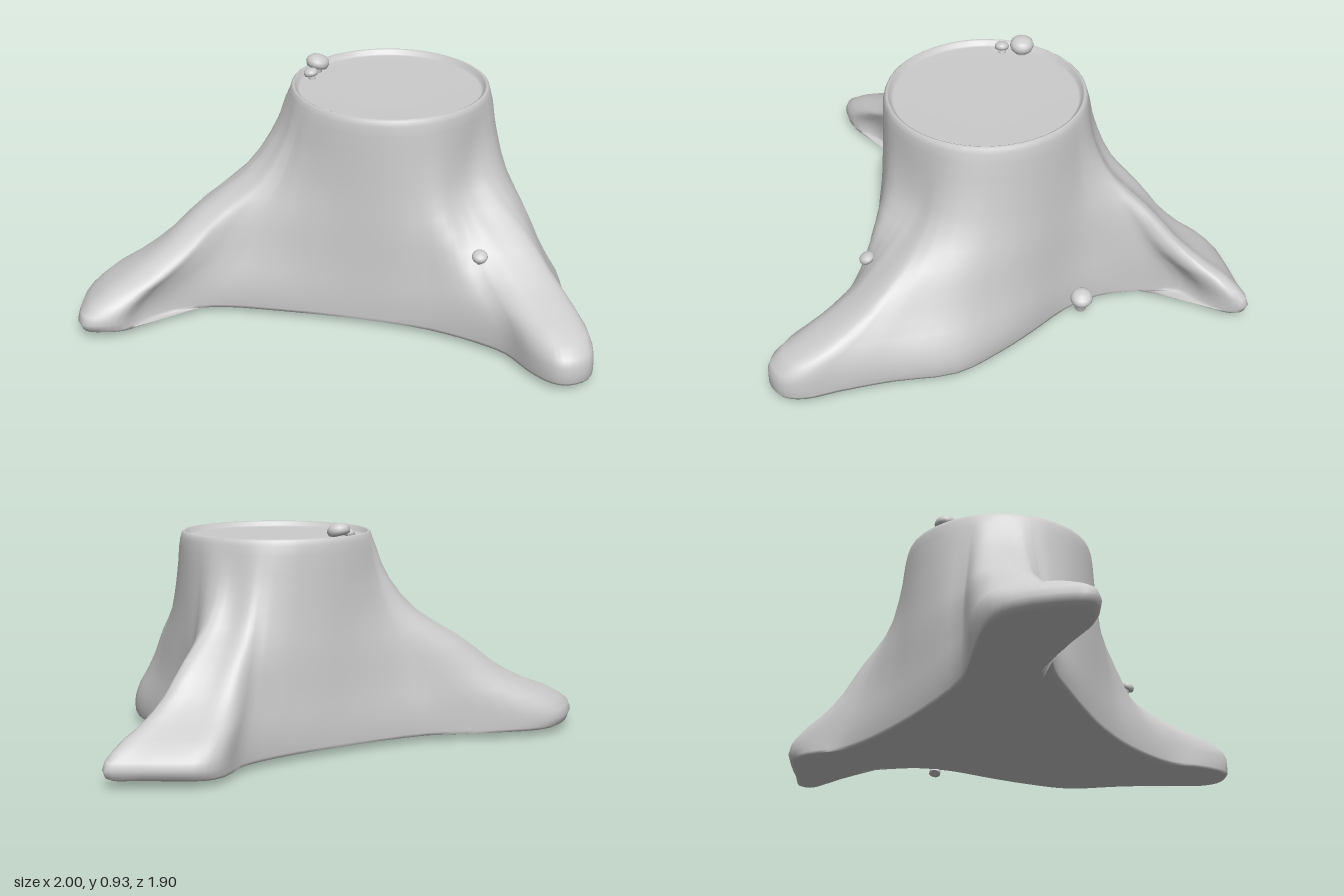
import * as THREE from 'three';

const CX = 0.197, CZ = 0.08, TOP_R = 0.403;

// Ground outline around the three bent roots: [angle on the trunk in degrees, x, z]
const OUTLINE = [
  // left front root
  [0, .78, .06], [14, .89, .23], [22, .92, .48], [28, .96, .68], [32, .995, .82], [36, .975, .9], [40, .9, .945],
  [44, .84, .935], [48, .76, .86], [54, .68, .74], [62, .57, .66],
  // front hollow
  [72, .38, .57], [92, .18, .515], [116, -.02, .48], [136, -.24, .455],
  // right root
  [147, -.45, .44], [151, -.62, .47], [154, -.75, .56], [157, -.82, .66], [160, -.9, .695], [163, -.97, .69],
  [166, -1, .63], [169, -.995, .4], [172, -.93, .3], [178, -.74, .2],
  // back right hollow
  [184, -.46, .08], [210, -.2, -.145], [242, -.02, -.34], [256, .1, -.5],
  // back root
  [263, .16, -.62], [268, .18, -.78], [272, .23, -.86], [277, .35, -.9], [281, .5, -.93], [284, .59, -.95],
  [287, .61, -.91], [290, .54, -.8], [293, .44, -.7], [297, .43, -.55],
  // back left hollow
  [304, .455, -.36], [320, .53, -.22], [342, .66, -.08],
];

// Rings from underside to cut top: [spread from trunk to outline, scale about the axis, height]
const RINGS = [
  [0, 0, .024], [0, 1, .024], [.4, 1, .024], [.75, 1, .024], [.95, 1, .026], [.985, 1, .038], [1, 1, .068],
  [.985, 1, .1], [.94, 1, .13], [.86, 1, .17], [.76, 1, .205], [.66, 1, .25], [.57, 1, .3], [.49, 1, .36],
  [.4, 1, .42], [.3, 1, .475], [.2, 1, .535], [.13, 1, .6], [.075, 1, .67], [.035, 1, .74], [.012, 1, .81],
  [0, .995, .85], [0, .98, .87], [0, .96, .876], [0, .94, .872], [0, .925, .856], [0, .9, .852], [0, .5, .852], [0, 0, .852],
];

// Root ridges: [trunk angle, strength, width]; ridges fall away faster than the full flanks between them
const RIDGES = [[46, .6, 20], [162, .3, 14], [280, .45, 14]];
const bump = (deg, [centre, strength, width]) => strength * Math.exp(-(((deg - centre) / width) ** 2));
const falloff = deg => RIDGES.reduce((sum, ridge) => sum + bump(deg, ridge), .7);
// The left front root has a flat shoulder before its tip
const SHOULDER = [40, 1, 22];

function stumpGeometry() {
  const n = OUTLINE.length, steps = 3, cols = n * steps;
  const curve = new THREE.CatmullRomCurve3(OUTLINE.map(([, x, z]) => new THREE.Vector3(x, 0, z)), true, 'centripetal');

  // Each column is a curve in plan that leaves the trunk radially and bends out to the outline
  const columns = [];
  for (let j = 0; j < cols; j++) {
    const i = Math.floor(j / steps), f = (j % steps) / steps;
    const a0 = OUTLINE[i][0], a1 = i + 1 < n ? OUTLINE[i + 1][0] : 360;
    const deg = a0 + (a1 - a0) * f, a = THREE.MathUtils.degToRad(deg);
    const end = curve.getPoint(j / cols);
    const reach = Math.hypot(end.x - CX, end.z - CZ);
    const mid = TOP_R + (reach - TOP_R) * 0.5;
    const at = r => new THREE.Vector3(CX + Math.cos(a) * r, 0, CZ + Math.sin(a) * r);
    columns.push({
      path: new THREE.QuadraticBezierCurve3(at(TOP_R), at(mid), end),
      power: falloff(deg),
      shoulder: bump(deg, SHOULDER),
    });
  }

  const pos = [], index = [];
  RINGS.forEach(([g, s, y], k) => {
    columns.forEach(({ path, power, shoulder }, j) => {
      const t = g ** power;
      const p = path.getPoint(THREE.MathUtils.lerp(t, THREE.MathUtils.smoothstep(t, 0, 1), shoulder));
      pos.push(CX + (p.x - CX) * s, y, CZ + (p.z - CZ) * s);
      if (k + 1 === RINGS.length) return;
      const a = k * cols + j, b = k * cols + (j + 1) % cols;
      index.push(a, a + cols, b, b, a + cols, b + cols);
    });
  });
  const geo = new THREE.BufferGeometry();
  geo.setAttribute('position', new THREE.Float32BufferAttribute(pos, 3));
  geo.setIndex(index);
  geo.computeVertexNormals();
  return geo;
}

// Small mushroom: origin at the middle of the cap, stem hanging below
function mushroom(name, material, [x, y, z], r, stem, tiltX, tiltZ) {
  const group = new THREE.Group();
  group.name = name;
  const profile = [[0, -.45], [.6, -.5], [.9, -.4], [1, -.1], [.93, .2], [.7, .42], [.35, .54], [0, .57]]
    .map(([px, py]) => new THREE.Vector2(px * r, py * r));
  const cap = new THREE.Mesh(new THREE.LatheGeometry(profile, 20), material);
  cap.name = 'mushroomCap';
  const stalk = new THREE.Mesh(new THREE.CylinderGeometry(r * .45, r * .55, stem, 12), material);
  stalk.name = 'mushroomStem';
  stalk.position.y = -stem / 2;
  group.add(cap, stalk);
  group.position.set(x, y, z);
  group.rotation.set(tiltX, 0, tiltZ);
  return group;
}

export function createModel() {
  const model = new THREE.Group();
  model.name = 'treeStump';
  const material = new THREE.MeshStandardMaterial({ color: 0xcccccc });

  const stump = new THREE.Mesh(stumpGeometry(), material);
  stump.name = 'stumpWithRoots';
  model.add(stump);

  model.add(
    mushroom('largeTopMushroom', material, [-.105, .898, -.08], .048, .07, 0, -.2),
    mushroom('smallTopMushroom', material, [-.128, .88, 0], .029, .05, 0, .2),
    mushroom('frontMushroom', material, [.565, .358, .564], .031, .06, .4, 0),
    mushroom('backMushroom', material, [.525, .082, -.285], .045, .079, 0, -.38),
  );
  return model;
}
